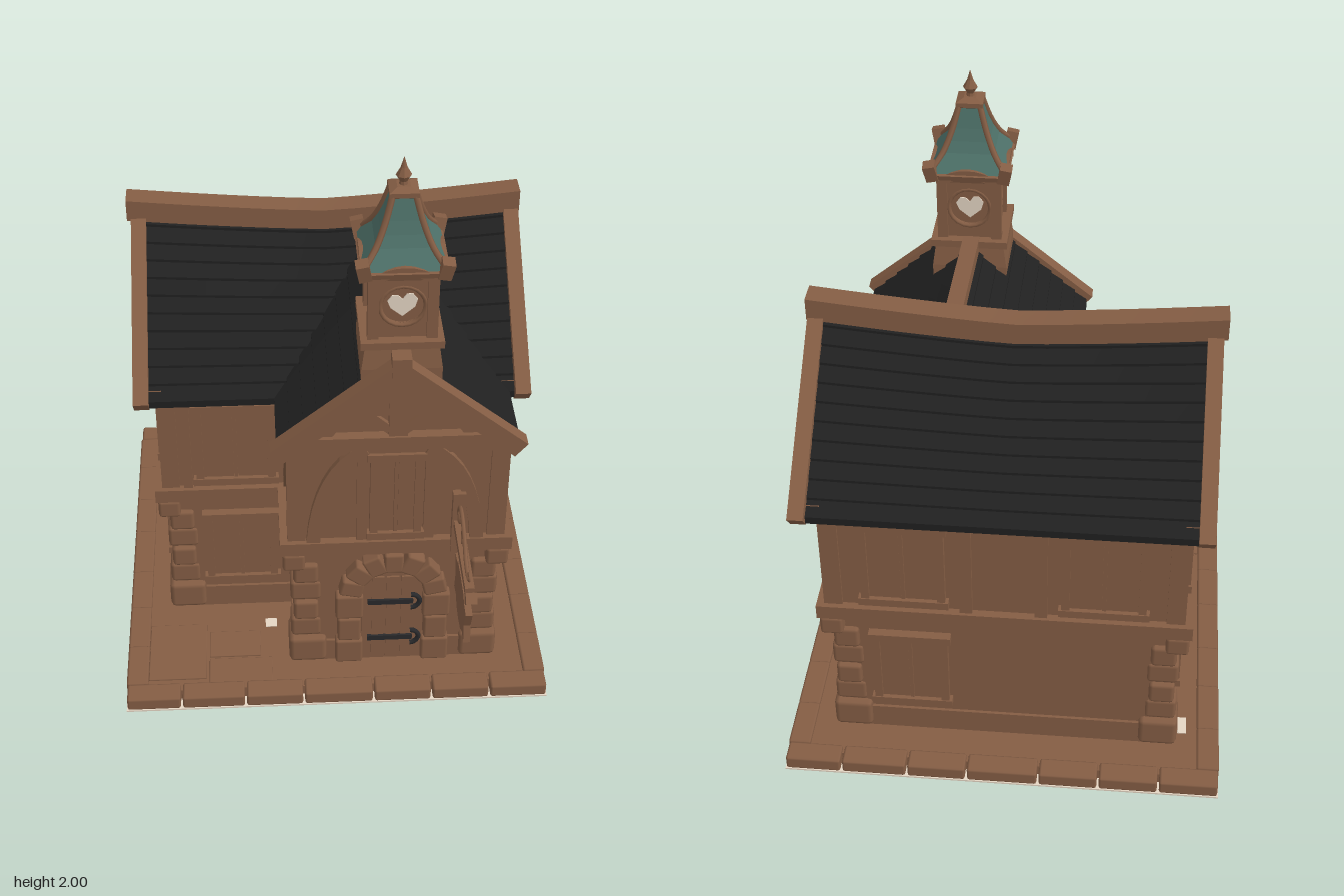
import * as THREE from 'three';
import { RoundedBoxGeometry } from 'three/addons/geometries/RoundedBoxGeometry.js';

const mat = (name, color) => Object.assign(new THREE.MeshStandardMaterial({ color }), { name });
const V2 = (x, y) => new THREE.Vector2(x, y);
const V3 = (x, y, z) => new THREE.Vector3(x, y, z);

export function createModel() {
  const root = new THREE.Group();
  root.name = 'timberHouse';
  const brown = mat('brownTimber', 0x845d44), slate = mat('darkSlate', 0x202020);
  const teal = mat('tealCopper', 0x4d7068), iron = mat('blackIron', 0x29292b);
  const cream = mat('creamPlaster', 0xe4d5c3);

  const add = (parent, name, geo, m, x = 0, y = 0, z = 0) => {
    const mesh = new THREE.Mesh(geo, m);
    mesh.name = name;
    mesh.position.set(x, y, z);
    parent.add(mesh);
    return mesh;
  };
  const box = (p, name, w, h, d, x, y, z, m = brown) => add(p, name, new THREE.BoxGeometry(w, h, d), m, x, y, z);
  const stone = (p, name, w, h, d, x, y, z) =>
    add(p, name, new RoundedBoxGeometry(w, h, d, 1, Math.min(w, h, d) * 0.16), brown, x, y, z);
  const group = (name, x, y, z, ry = 0, p = root) => {
    const g = new THREE.Group();
    g.name = name;
    g.position.set(x, y, z);
    g.rotation.y = ry;
    p.add(g);
    return g;
  };
  const extrude = (pts, depth) => new THREE.ExtrudeGeometry(new THREE.Shape(pts), { depth, bevelEnabled: false });
  // straight timber between two points of a wall face
  const bar = (p, name, u0, v0, u1, v1, w, d, n = 0, m = brown) => {
    const b = box(p, name, Math.hypot(u1 - u0, v1 - v0), w, d, (u0 + u1) / 2, (v0 + v1) / 2, n, m);
    b.rotation.z = Math.atan2(v1 - v0, u1 - u0);
  };
  // curved timber on a wall face
  const brace = (p, a, c, b, w = 0.045, d = 0.02) => {
    const curve = new THREE.QuadraticBezierCurve(V2(...a), V2(...c), V2(...b));
    const left = [], right = [];
    for (let i = 0; i <= 8; i++) {
      const q = curve.getPoint(i / 8), t = curve.getTangent(i / 8);
      left.push(V2(q.x - t.y * w / 2, q.y + t.x * w / 2));
      right.unshift(V2(q.x + t.y * w / 2, q.y - t.x * w / 2));
    }
    add(p, 'curvedBrace', extrude([...left, ...right], d), brown);
  };
  const windowAt = (p, u, v, w, h, n = 0) => {
    const g = group('window', u, v, n, 0, p);
    for (const s of [-1, 1]) {
      box(g, 'shutter', w / 2 - 0.03, h - 0.05, 0.02, s * (w / 4 - 0.008), 0, 0);
      box(g, 'windowJamb', 0.026, h, 0.035, s * (w / 2 - 0.013), 0, 0.004);
      box(g, 'windowRail', w + 0.02, 0.028, 0.042, 0, s * (h / 2 - 0.014), 0.004);
    }
    box(g, 'windowMullion', 0.012, h, 0.025, 0, 0, 0.002);
  };

  // base slab with a rim of paving stones
  const base = group('base', 0, 0, -0.122);
  box(base, 'underside', 1.45, 0.006, 1.495, 0, 0.003, 0, cream);
  box(base, 'floor', 1.36, 0.038, 1.4, 0, 0.025, 0);
  box(base, 'floorGap', 0.04, 0.004, 0.04, -0.22, 0.045, 0.39, cream);
  box(base, 'floorGap', 0.03, 0.004, 0.07, -0.6, 0.045, -0.48, cream);
  [0.19, 0.22, 0.2, 0.24, 0.2, 0.2, 0.2].reduce((x, w) => {
    for (const s of [-1, 1]) {
      stone(base, 'rimStone', w - 0.007, 0.05, 0.075, s * (x + w / 2), 0.031, s * 0.71);
      stone(base, 'rimStone', 0.075, 0.05, w * 0.94 - 0.007, 0.688, 0.031, s * (x + w / 2) * 0.93);
      stone(base, 'rimStone', 0.075, 0.05, w * 0.94 - 0.007, -0.688, 0.031, -s * (x + w / 2) * 0.93);
    }
    return x + w;
  }, -0.725);
  for (const [x, z, w, d] of [[-0.55, 0.49, 0.2, 0.26], [-0.33, 0.6, 0.22, 0.14], [-0.35, 0.46, 0.18, 0.12]])
    stone(base, 'pavingSlab', w, 0.02, d, x, 0.04, z + 0.03);

  // walls, storey beams and eave beams: [centre x, centre z, half x, half z]
  for (const [name, x, z, hx, hz] of [['mainBlock', 0, -0.26, 0.57, 0.43], ['frontWing', 0.2, 0.22, 0.35, 0.24]]) {
    const g = group(name, x, 0, z);
    box(g, 'lowerWall', 2 * hx - 0.03, 0.54, 2 * hz - 0.03, 0, 0.31, 0);
    box(g, 'upperWall', 2 * hx, 0.46, 2 * hz, 0, 0.8, 0);
    box(g, 'storeyBeam', 2 * hx + 0.07, 0.052, 2 * hz + 0.055, 0, 0.596, 0);
    box(g, 'storeyTrim', 2 * hx + 0.02, 0.02, 2 * hz + 0.02, 0, 0.56, 0);
    box(g, 'eaveBeam', 2 * hx + 0.03, 0.05, 2 * hz + 0.03, 0, 1.012, 0);
    box(g, 'plinth', 2 * hx - 0.01, 0.09, 2 * hz - 0.01, 0, 0.09, 0);
    for (const sx of [-1, 1]) for (const sz of [-1, 1]) {
      if (name === 'frontWing' && sz < 0) continue;
      box(g, 'cornerPost', 0.06, 0.42, 0.06, sx * (hx - 0.02), 0.81, sz * (hz - 0.02));
      stone(g, 'corbel', 0.075, 0.07, 0.075, sx * (hx - 0.01), 0.535, sz * (hz - 0.01));
      // stacked quoin stones
      stone(g, 'quoinFoot', 0.13, 0.11, 0.13, sx * (hx - 0.055), 0.105, sz * (hz - 0.055));
      for (let k = 0; k < 4; k++)
        stone(g, 'quoin', k % 2 ? 0.085 : 0.105, 0.083, k % 2 ? 0.105 : 0.085,
          sx * (hx - 0.05), 0.203 + k * 0.085, sz * (hz - 0.05));
    }
  }

  // gable: wall triangle, king post, curved braces and bargeboards
  const gable = (p, half, eave, apex, out) => {
    add(p, 'gableWall', extrude([V2(-half + 0.02, 1.035), V2(half - 0.02, 1.035), V2(0, apex - 0.01)], 0.03), brown, 0, 0, -0.03);
    bar(p, 'kingPost', 0, 1.05, 0, apex - 0.03, 0.06, 0.035, 0.01);
    bar(p, 'tieBeam', -half + 0.04, 1.045, half - 0.04, 1.045, 0.05, 0.05, 0.01);
    for (const s of [-1, 1]) {
      brace(p, [s * half * 0.62, 1.06], [s * half * 0.42, 1.2], [s * 0.02, 1.06 + (apex - 1.06) * 0.52]);
      bar(p, 'gableStrut', s * 0.02, 1.08, s * half * 0.4, 1.03 + (apex - 1.03) * 0.52, 0.03, 0.02, 0.006);
      bar(p, 'bargeboard', s * half, eave, 0, apex, 0.062, 0.05, out);
    }
  };

  // two gabled ends with paired windows
  for (const s of [-1, 1]) {
    const g = group('sideFace', s * 0.572, 0, -0.26, s * Math.PI / 2);
    gable(g, 0.52, 1.035, 1.45, 0.05);
    bar(g, 'middlePost', 0, 0.62, 0, 1.01, 0.055, 0.03);
    for (const k of [-1, 1]) {
      windowAt(g, k * 0.19, 0.81, 0.225, 0.34);
      windowAt(g, k * 0.18, 0.335, 0.2, 0.31, -0.012);
      bar(g, 'sidePost', k * 0.35, 0.62, k * 0.35, 1.01, 0.03, 0.02);
    }
    for (let k = 0; k < 5; k++) stone(g, 'plinthStone', 0.135, 0.09, 0.05, -0.29 + k * 0.145, 0.095, -0.015);
  }

  // left part of the front, and the back
  const front = group('frontFace', 0, 0, 0.172);
  windowAt(front, -0.325, 0.81, 0.27, 0.34);
  windowAt(front, -0.315, 0.335, 0.25, 0.32, -0.012);
  bar(front, 'post', -0.49, 0.62, -0.49, 1.01, 0.03, 0.025);
  const back = group('backFace', 0, 0, -0.692, Math.PI);
  windowAt(back, -0.32, 0.81, 0.27, 0.34);
  windowAt(back, 0.32, 0.81, 0.27, 0.34);
  windowAt(back, -0.31, 0.335, 0.25, 0.32, -0.012);
  for (const u of [-0.12, 0.12]) bar(back, 'post', u, 0.62, u, 1.01, 0.04, 0.03);

  // wing front: window, arched braces, gable
  const wing = group('wingFace', 0.195, 0, 0.462);
  gable(wing, 0.385, 1.035, 1.355, 0.05);
  windowAt(wing, 0, 0.81, 0.17, 0.36);
  box(wing, 'apexBlock', 0.06, 0.07, 0.06, 0, 1.37, 0.05);
  for (const s of [-1, 1]) {
    brace(wing, [s * 0.27, 0.62], [s * 0.25, 0.93], [s * 0.1, 1.01]);
    bar(wing, 'post', s * 0.11, 0.62, s * 0.11, 1.01, 0.035, 0.025);
    // diagonal brace on each wing flank
    const flank = group('wingFlank', 0.2 + s * 0.352, 0, 0.3, s * Math.PI / 2);
    bar(flank, 'diagonalBrace', -s * 0.13, 0.99, s * 0.12, 0.64, 0.045, 0.025);
  }

  // arched door with stone surround
  const door = group('door', 0.195, 0, 0.44);
  const arch = new THREE.Shape().moveTo(-0.105, 0.05).lineTo(0.105, 0.05).lineTo(0.105, 0.37);
  arch.absarc(0, 0.37, 0.105, 0, Math.PI, false);
  add(door, 'doorLeaf', new THREE.ExtrudeGeometry(arch, { depth: 0.02, bevelEnabled: false }), brown);
  for (const u of [-0.05, 0, 0.05]) box(door, 'doorBatten', 0.042, 0.38, 0.01, u, 0.25, 0.022);
  for (const v of [0.16, 0.33]) {
    bar(door, 'hinge', -0.085, v, 0.07, v, 0.02, 0.01, 0.03, iron);
    const curl = add(door, 'hingeCurl', new THREE.TorusGeometry(0.03, 0.009, 6, 12, Math.PI), iron, 0.062, v, 0.03);
    curl.rotation.z = -Math.PI / 2;
  }
  for (let k = 0; k < 7; k++) {
    const a = (k + 0.5) * Math.PI / 7;
    stone(door, 'archStone', 0.08, 0.066, 0.06, Math.cos(a) * 0.143, 0.37 + Math.sin(a) * 0.143, 0.015).rotation.z = a;
  }
  for (const s of [-1, 1]) for (let k = 0; k < 3; k++)
    stone(door, 'jambStone', k % 2 ? 0.08 : 0.095, 0.103, 0.06, s * 0.148, 0.107 + k * 0.105, 0.015);

  // roofs: overlapping courses bent onto the slopes; place(a, t, h) with a across, t from ridge to eave
  const courses = (name, n, place) => {
    const g = group(name, 0, 0, 0);
    for (let k = 0; k < n; k++) {
      const geo = new THREE.BoxGeometry(1, 1, 1, 12, 1, 1), pos = geo.attributes.position;
      for (let i = 0; i < pos.count; i++) {
        const c = pos.getZ(i) + 0.5;
        pos.setXYZ(i, ...place(pos.getX(i), (k + c) / n, (pos.getY(i) - 0.5) * 0.025 + c * 0.009));
      }
      geo.computeVertexNormals();
      add(g, 'shingleCourse', geo, slate);
    }
  };
  const sag = x => 0.055 * (1 - (Math.abs(x) / 0.65) ** 1.25);
  for (const s of [1, -1])
    courses('mainRoof', 11, (a, t, h) => {
      const x = a * 1.22;
      return [s * x, 1.04 + (0.435 - sag(x)) * (1 - t) + h, -0.26 + s * 0.51 * t];
    });
  for (const s of [1, -1])
    courses('wingRoof', 9, (a, t, h) => {
      const f = s > 0 ? 0.5 + a : 0.5 - a;
      const z = THREE.MathUtils.lerp(0.5, 0.21 - 0.48 * (1 - t), f);
      return [0.195 + s * 0.385 * t, 1.04 + (0.375 - 0.08 * (z - 0.1)) * (1 - t) + h, z];
    });
  const ridge = new THREE.BoxGeometry(1.31, 0.075, 0.08, 12, 1, 1), rp = ridge.attributes.position;
  for (let i = 0; i < rp.count; i++) rp.setY(i, rp.getY(i) - sag(rp.getX(i)));
  ridge.computeVertexNormals();
  add(root, 'ridgeBeam', ridge, brown, -0.005, 1.488, -0.26);
  box(root, 'wingRidge', 0.055, 0.045, 0.72, 0.195, 1.42, 0.12).rotation.x = 0.08;

  // bell turret
  const tower = group('turret', 0.2, 0, 0.36);
  const square = (name, pts, m, n = 4) => {
    const geo = new THREE.LatheGeometry(pts.map(([r, y]) => V2(r * (n === 4 ? Math.SQRT2 : 1), y)), n).toNonIndexed();
    geo.computeVertexNormals();
    add(tower, name, geo, m).rotation.y = Math.PI / 4;
  };
  square('turretFoot', [[0.125, 1.15], [0.125, 1.33], [0.115, 1.4], [0.128, 1.405], [0.128, 1.43], [0, 1.43]], brown);
  const heart = [[0, -0.045], [0.038, -0.012], [0.046, 0.015], [0.03, 0.036], [0.012, 0.034], [0, 0.016],
    [-0.014, 0.03], [-0.032, 0.03], [-0.046, 0.01], [-0.036, -0.015]].map(([u, v]) => V2(u, v));
  for (let k = 0; k < 4; k++) {
    const side = group('turretSide', 0, 0, 0, k * Math.PI / 2, tower);
    const panel = new THREE.Shape([V2(-0.09, 1.42), V2(0.09, 1.42), V2(0.09, 1.66), V2(-0.09, 1.66)]);
    panel.holes.push(new THREE.Path().absarc(0, 1.54, 0.068, 0, Math.PI * 2, true));
    add(side, 'turretPanel', new THREE.ExtrudeGeometry(panel, { depth: 0.02, bevelEnabled: false }), brown, 0, 0, 0.075);
    add(side, 'openingRing', new THREE.TorusGeometry(0.07, 0.008, 6, 20), brown, 0, 1.54, 0.09);
    box(side, 'recessedPanel', 0.15, 0.17, 0.012, 0, 1.54, 0.07);
    // pale inset on the front and back openings
    if (k % 2 === 0) add(side, 'paleInset', extrude(heart, 0.006), cream, 0, 1.54, 0.074);
    box(side, 'turretPost', 0.034, 0.23, 0.034, 0.09, 1.54, 0.09);
    brace(group('corniceArch', 0, 0, 0.11, 0, side), [-0.1, 1.65], [0, 1.72], [0.1, 1.65], 0.03, 0.02);
    const horn = box(side, 'cornerHorn', 0.04, 0.06, 0.04, 0.122, 1.69, 0.122);
    horn.rotation.set(0.2, 0, -0.2);
    const rib = new THREE.CatmullRomCurve3([[0.122, 1.69], [0.085, 1.74], [0.056, 1.81], [0.034, 1.89]].map(([r, y]) => V3(r, y, r)));
    add(side, 'roofRib', new THREE.TubeGeometry(rib, 10, 0.01, 6), brown);
  }
  square('cornice', [[0.1, 1.64], [0.128, 1.655], [0.135, 1.68], [0.12, 1.69], [0, 1.69]], brown);
  square('turretRoof', [[0.128, 1.685], [0.085, 1.74], [0.068, 1.775], [0.054, 1.815], [0.034, 1.89]], teal);
  square('roofCollar', [[0.03, 1.875], [0.044, 1.885], [0.044, 1.9], [0.02, 1.91], [0, 1.91]], brown);
  square('finial', [[0.015, 1.9], [0.012, 1.92], [0.024, 1.94], [0.01, 1.965], [0, 2]], brown, 8);

  // hanging sign, drawn in a plane facing sideways (u runs forward)
  const sign = group('hangingSign', 0.4, 0, 0, -Math.PI / 2);
  box(sign, 'wallPlate', 0.025, 0.25, 0.042, 0.485, 0.7, 0);
  bar(sign, 'signArm', 0.48, 0.7, 0.815, 0.7, 0.028, 0.03);
  box(sign, 'armTip', 0.036, 0.036, 0.036, 0.845, 0.7, 0).rotation.z = Math.PI / 4;
  const scroll = [[0.78, 0.71], [0.7, 0.725], [0.65, 0.76], [0.58, 0.795], [0.52, 0.79], [0.5, 0.76], [0.525, 0.735], [0.545, 0.755], [0.53, 0.77]];
  add(sign, 'scroll', new THREE.TubeGeometry(new THREE.CatmullRomCurve3(scroll.map(([u, v]) => V3(u, v, 0))), 40, 0.007, 6), brown);
  add(sign, 'scrollCurl', new THREE.TorusGeometry(0.022, 0.006, 6, 14, 5), brown, 0.62, 0.745, 0);
  for (const u of [0.59, 0.78]) {
    add(sign, 'chainRing', new THREE.TorusGeometry(0.013, 0.004, 6, 10), brown, u, u > 0.7 ? 0.73 : 0.675, 0);
    bar(sign, 'chain', u, 0.62, u, 0.69, 0.008, 0.008);
    add(sign, 'chainRing', new THREE.TorusGeometry(0.012, 0.004, 6, 10), brown, u, 0.645, 0);
  }
  const half = [[0, 0.455], [0.05, 0.462], [0.085, 0.488], [0.13, 0.482], [0.117, 0.545], [0.145, 0.615], [0.1, 0.62], [0.07, 0.638], [0, 0.642]];
  const outline = [...half, ...half.slice(1, -1).reverse().map(([u, v]) => [-u, v])].map(([u, v]) => V2(u + 0.69, v));
  add(sign, 'signBoard', extrude(outline, 0.022), brown, 0, 0, -0.011);
  return root;
}
